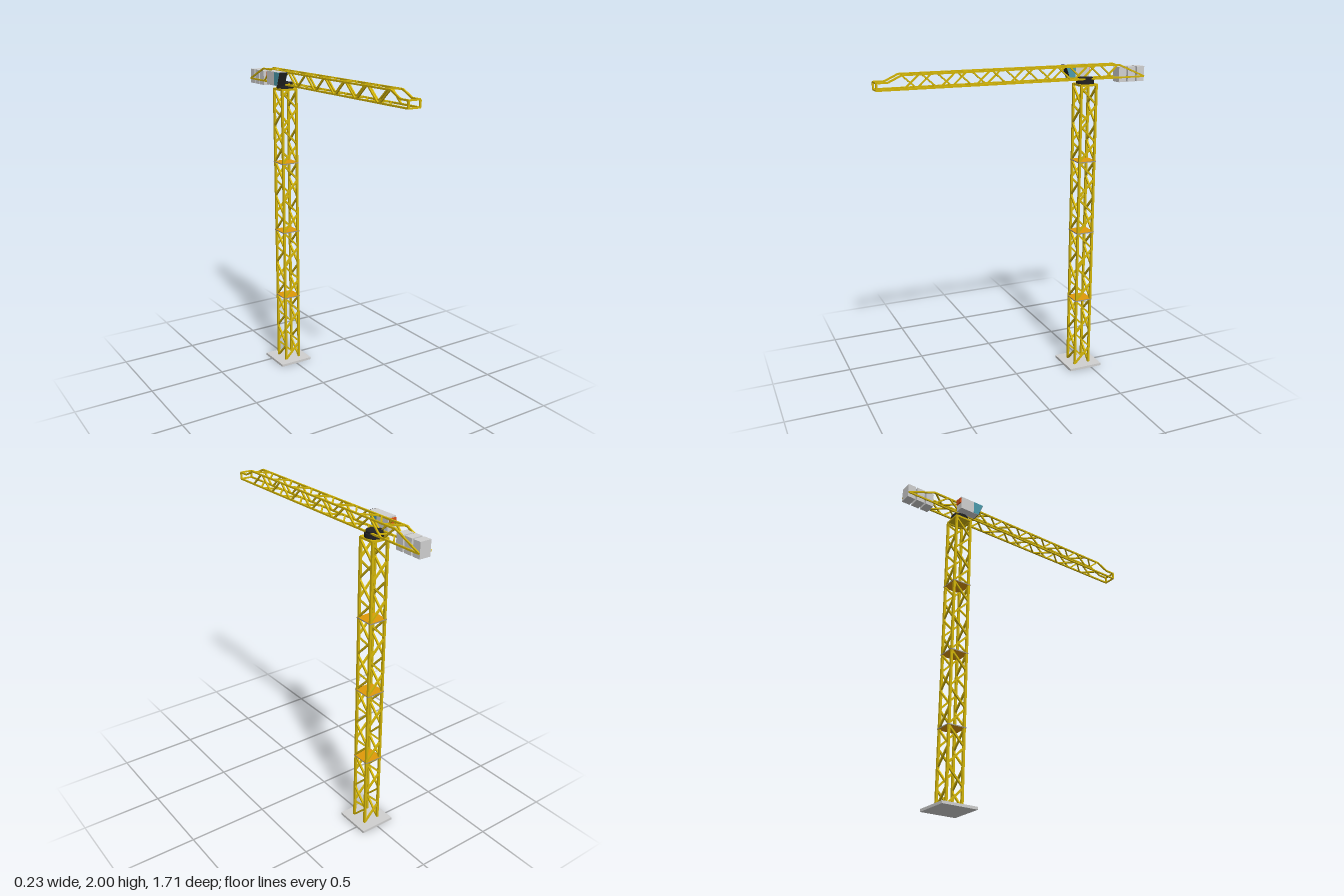
import * as THREE from 'three';
import { mergeGeometries } from 'three/addons/utils/BufferGeometryUtils.js';

const mat = (name, color) => {
  const m = new THREE.MeshStandardMaterial({ color });
  m.name = name;
  return m;
};
const V = (x, y, z) => new THREE.Vector3(x, y, z);

// Square bar between two points, rolled so its faces stay axis aligned
function bar(a, b, t) {
  const g = new THREE.BoxGeometry(t, t, a.distanceTo(b));
  const up = Math.abs(b.y - a.y) > 0.999 * a.distanceTo(b) ? V(0, 0, 1) : V(0, 1, 0);
  const m = new THREE.Matrix4().lookAt(a, b, up);
  m.setPosition(a.clone().add(b).multiplyScalar(0.5));
  return g.applyMatrix4(m);
}

export function createModel() {
  const yellow = mat('craneYellow', 0xd2b408);
  const orange = mat('platformOrange', 0xe09a08);
  const grey = mat('concreteGrey', 0xd0d0d0);
  const steel = mat('rimSteel', 0x9a958a);
  const dark = mat('darkSteel', 0x222222);
  const glass = mat('tealGlass', 0x4a9aac);
  const red = mat('signalRed', 0xd8501a);

  const root = new THREE.Group();
  root.name = 'towerCrane';
  const add = (name, geo, material, parent = root) => {
    const m = new THREE.Mesh(geo, material);
    m.name = name;
    parent.add(m);
    return m;
  };
  const box = (name, material, x0, x1, y0, y1, z0, z1, parent) =>
    add(name, new THREE.BoxGeometry(x1 - x0, y1 - y0, z1 - z0), material, parent)
      .position.set((x0 + x1) / 2, (y0 + y1) / 2, (z0 + z1) / 2);

  const TX = 0.003, TZ = -0.457;

  // Foundation slab
  box('baseSlab', grey, -0.114, 0.114, 0, 0.016, TZ - 0.115, TZ + 0.113);

  // Mast: four legs with a zigzag lattice on each face
  const h = 0.051, y0 = 0.01, section = 0.466, bay = section / 4, gap = 0.006;
  const top = y0 + section * 4;
  const corners = [[h, h], [h, -h], [-h, -h], [-h, h]].map(([x, z]) => [TX + x, TZ + z]);
  const legs = [], braces = [], frames = [];
  corners.forEach(([x, z], i) => {
    const [x2, z2] = corners[(i + 1) % 4];
    legs.push(bar(V(x, y0, z), V(x, top + 0.012, z), 0.014));
    for (let k = 0; k < 16; k++) {
      const ya = y0 + k * bay + gap, yb = y0 + (k + 1) * bay - gap;
      const [s, e] = k % 2 ? [yb, ya] : [ya, yb];
      braces.push(bar(V(x, s, z), V(x2, e, z2), 0.011));
    }
    frames.push(bar(V(x, top + 0.008, z), V(x2, top + 0.008, z2), 0.013));
  });
  add('mastLegs', mergeGeometries(legs), yellow);
  add('mastBraces', mergeGeometries(braces), yellow);
  add('mastTopFrame', mergeGeometries(frames), yellow);
  box('mastTopPlate', yellow, TX - h, TX + h, top + 0.006, top + 0.011, TZ - h, TZ + h);

  // Platforms at the mast joints: orange decks with a steel rim
  for (let k = 1; k < 4; k++) {
    const y = y0 + k * section - 0.001;
    box('platform', [steel, steel, orange, orange, steel, steel],
      TX - 0.06, TX + 0.06, y - 0.004, y + 0.003, TZ - 0.06, TZ + 0.06);
  }

  // Slewing ring
  add('slewingRing', new THREE.CylinderGeometry(0.055, 0.055, 0.027, 24), dark).position.set(TX, 1.9, TZ);
  add('slewingNeck', new THREE.CylinderGeometry(0.048, 0.048, 0.012, 24), dark).position.set(TX, 1.919, TZ);

  // Jib: box truss with a stepped nose and a sloping tail
  const jib = new THREE.Group();
  jib.name = 'jib';
  jib.position.x = TX;
  root.add(jib);
  const w = 0.038, yb = 1.917, yt = 1.995, zf = 0.705, zr = -0.67;
  const outline = [[yb, -0.852], [yb, 0.85], [1.958, 0.85], [1.958, 0.785], [yt, zf], [yt, zr], [yb, -0.852]];
  const chords = [], lattice = [];
  for (const x of [-w, w])
    for (let i = 0; i + 1 < outline.length; i++)
      chords.push(bar(V(x, ...outline[i]), V(x, ...outline[i + 1]), 0.01));
  for (const [y, z] of [[yb, 0.85], [1.958, 0.85], [yb, -0.848]])
    chords.push(bar(V(-w, y, z), V(w, y, z), 0.009));
  const n = 13, step = (zf - zr) / n, inset = 0.009;
  const ring = [[w, yt], [w, yb], [-w, yb], [-w, yt]];
  ring.forEach(([x, y], i) => {
    const [x2, y2] = ring[(i + 1) % 4];
    for (let k = 0; k < n; k++) {
      const za = zr + k * step + inset, zb = zr + (k + 1) * step - inset;
      const [s, e] = k % 2 ? [zb, za] : [za, zb];
      lattice.push(bar(V(x, y, s), V(x2, y2, e), 0.009));
    }
  });
  add('jibChords', mergeGeometries(chords), yellow, jib);
  add('jibLattice', mergeGeometries(lattice), yellow, jib);

  // Counterweights hung in the tail
  for (const z of [-0.7, -0.764, -0.828])
    box('counterweight', grey, TX - 0.036, TX + 0.036, 1.887, 1.979, z - 0.026, z + 0.026);

  // Operator cab with a raked front
  const cab = new THREE.Group();
  cab.name = 'cab';
  root.add(cab);
  const cx0 = -0.099, cx1 = -0.044, cyB = 1.913, cyT = 1.998;
  const zTop = -0.348, zLow = -0.38, zPost = -0.415;
  // Side profile drawn as (-z, y) and swept across x
  const sweep = (pts, xa, xb) => {
    const s = new THREE.Shape(pts.map(([z, y]) => new THREE.Vector2(-z, y)));
    return new THREE.ExtrudeGeometry(s, { depth: xb - xa, bevelEnabled: false })
      .rotateY(Math.PI / 2).translate(xa, 0, 0);
  };
  add('cabBody', sweep([[-0.508, cyB], [zLow, cyB], [zTop, cyT], [-0.508, cyT]], cx0, cx1), grey, cab);
  const pane = [[zPost, cyB + 0.002], [zLow, cyB + 0.002], [zTop, cyT - 0.002], [zPost, cyT - 0.002]];
  add('cabSideWindow', sweep(pane, cx0 - 0.002, cx0), glass, cab);
  add('cabSideWindow', sweep(pane, cx1, cx1 + 0.002), glass, cab);
  add('cabFrontWindow', sweep([[zLow, cyB], [zLow + 0.003, cyB], [zTop + 0.003, cyT], [zTop, cyT]], cx0, cx1), dark, cab);
  box('cabRearPanel', red, cx0 + 0.003, cx1 - 0.008, cyT - 0.042, cyT - 0.008, -0.517, -0.508, cab);

  return root;
}
